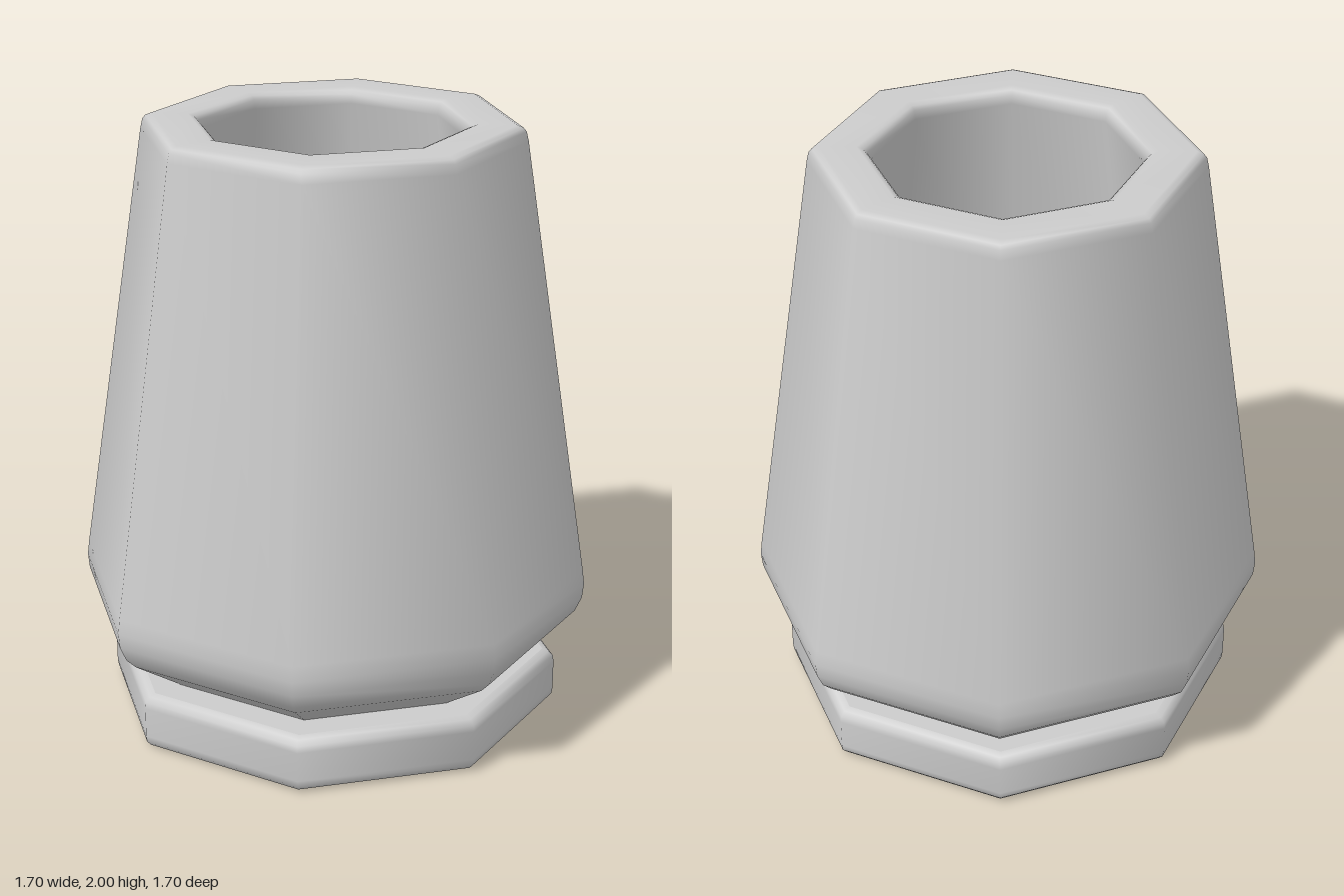
import * as THREE from 'three';

const SIDES = 8;

export function createModel() {
  const model = new THREE.Group();
  const grey = new THREE.MeshStandardMaterial({ color: 0xcccccc });
  grey.name = 'light grey';

  const add = (name, geometry, y = 0, tilt = 0) => {
    const mesh = new THREE.Mesh(geometry, grey);
    mesh.name = name;
    mesh.position.y = y;
    mesh.rotation.x = tilt;
    model.add(mesh);
  };
  // Eight-sided ring turned from a [radius, height] profile, smooth across its bevels
  const turned = (profile) =>
    new THREE.LatheGeometry(profile.map(([r, y]) => new THREE.Vector2(r, y)), SIDES);
  const disc = (radius) => new THREE.CircleGeometry(radius, SIDES);
  const UP = -Math.PI / 2, DOWN = Math.PI / 2;

  // Tapered hollow body: up the outside, over the bevelled rim, down the inside
  add('body', turned([
    [0.6, 0.18], [0.62, 0.19], [0.79, 0.305], [0.825, 0.34], [0.847, 0.39], [0.852, 0.44], [0.846, 0.49],
    [0.622, 1.95], [0.615, 1.98], [0.605, 1.992], [0.585, 2],
    [0.465, 2], [0.445, 1.992], [0.434, 1.98], [0.43, 1.95],
    [0.645, 0.5], [0.65, 0.44], [0.62, 0.38], [0.47, 0.27], [0.45, 0.26],
  ]));
  add('bodyFloor', disc(0.47), 0.265, UP);
  add('bodyUnderside', disc(0.6), 0.18, DOWN);

  // Bevelled foot plate
  add('foot', turned([
    [0.72, 0], [0.742, 0.007], [0.757, 0.023], [0.76, 0.045],
    [0.76, 0.145], [0.757, 0.167], [0.742, 0.183], [0.72, 0.19],
  ]));
  add('footTop', disc(0.72), 0.19, UP);
  add('footBottom', disc(0.72), 0, DOWN);

  return model;
}
